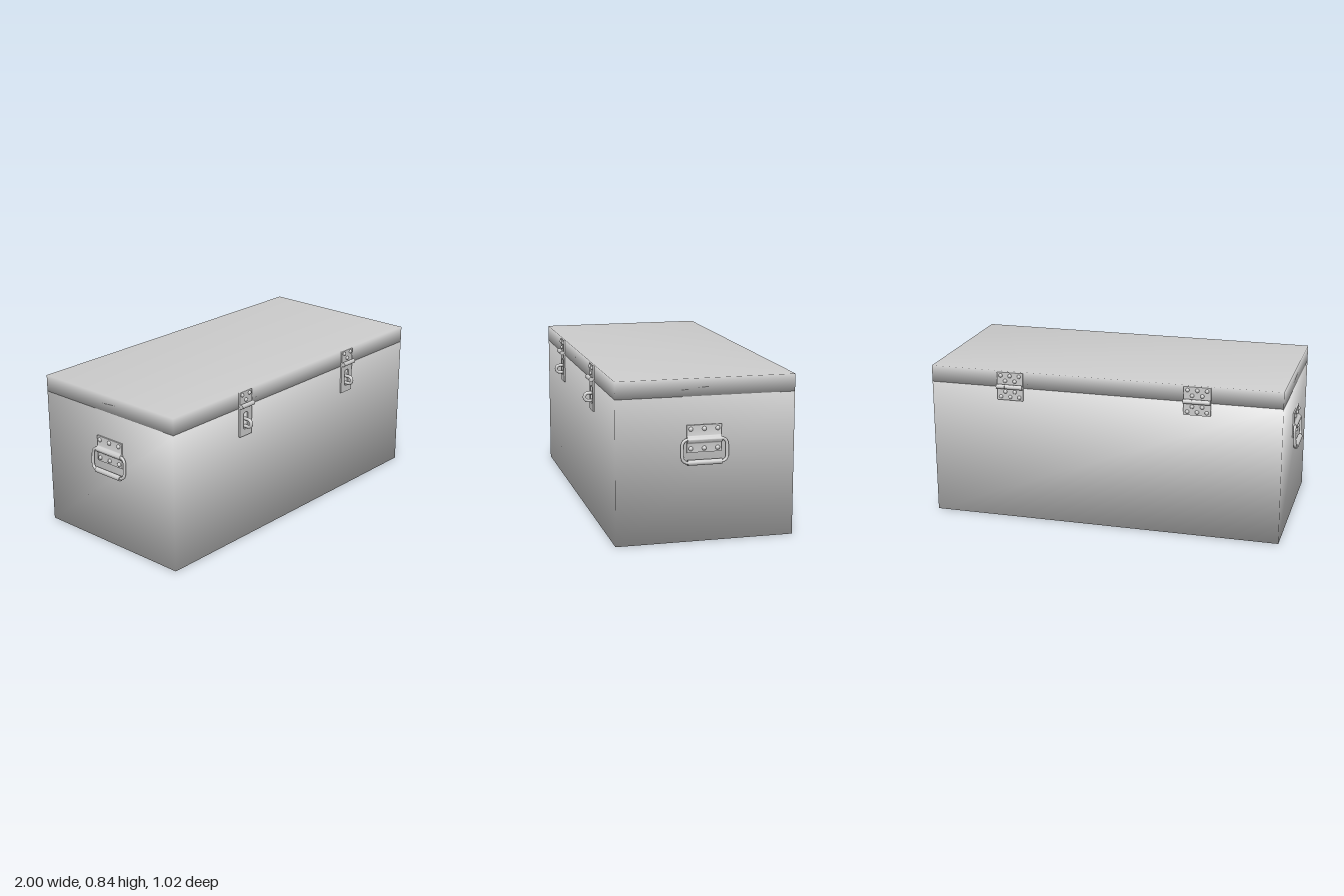
import * as THREE from 'three';
import { mergeVertices, toCreasedNormals } from 'three/addons/utils/BufferGeometryUtils.js';

const FRONT = 0.455, BACK = -0.477, HALF_W = 0.965, SEAM = 0.75, TOP = 0.84;
const PLATE = 0.008; // thickness of the metal plates
const material = new THREE.MeshStandardMaterial({ color: 0xcccccc });

function add(parent, name, geometry, x = 0, y = 0, z = 0) {
  const mesh = new THREE.Mesh(geometry, material);
  mesh.name = name;
  mesh.position.set(x, y, z);
  parent.add(mesh);
  return mesh;
}

// Box whose corners share one averaged normal, for soft shading
function softBox(w, h, d) {
  const box = new THREE.BoxGeometry(w, h, d);
  box.deleteAttribute('normal');
  box.deleteAttribute('uv');
  const soft = mergeVertices(box);
  soft.computeVertexNormals();
  return soft;
}

// Rounded rectangle outline centred on the origin
function roundedRect(w, h, r, Type = THREE.Shape) {
  const x = w / 2 - r, y = h / 2 - r, s = new Type();
  s.moveTo(x + r, -y);
  s.absarc(x, y, r, 0, Math.PI / 2);
  s.absarc(-x, y, r, Math.PI / 2, Math.PI);
  s.absarc(-x, -y, r, Math.PI, Math.PI * 1.5);
  s.absarc(x, -y, r, Math.PI * 1.5, Math.PI * 2);
  s.closePath();
  return s;
}

// Flat plate with small rounded corners, lying on z = 0 and facing +z
function plate(w, h, hole) {
  const shape = roundedRect(w, h, 0.004);
  if (hole) shape.holes.push(hole);
  const geo = new THREE.ExtrudeGeometry(shape, { depth: PLATE, bevelEnabled: false, curveSegments: 8 });
  return toCreasedNormals(geo, 0.6);
}

// Domed rivets at [x, y] spots
function rivets(parent, spots, r = 0.011) {
  const dome = new THREE.SphereGeometry(r, 14, 7, 0, Math.PI * 2, 0, Math.PI / 2).rotateX(Math.PI / 2);
  for (const [x, y] of spots) add(parent, 'rivet', dome, x, y, PLATE - 0.001);
}

const barrel = (length, r) => new THREE.CylinderGeometry(r, r, length, 18).rotateZ(Math.PI / 2);

// Latch with a slotted hasp over a staple; y is measured from the ground
function makeLatch() {
  const g = new THREE.Group();
  g.name = 'latch';
  add(g, 'latchUpperPlate', plate(0.094, 0.08, null), 0, 0.798, 0);
  add(g, 'latchHasp', plate(0.094, 0.168, roundedRect(0.034, 0.095, 0.012, THREE.Path)), 0, 0.674, 0);
  add(g, 'latchPivot', barrel(0.096, 0.012), 0, 0.763, 0.018);
  rivets(g, [[-0.028, 0.821], [0.028, 0.821], [0, 0.79]]);
  // U-shaped staple standing out through the slot
  const pts = [[0.683, -0.01], [0.683, 0.012]];
  for (let i = 0; i <= 8; i++) {
    const a = Math.PI / 2 - (i / 8) * Math.PI;
    pts.push([0.6625 + 0.0205 * Math.sin(a), 0.025 + 0.0205 * Math.cos(a)]);
  }
  pts.push([0.642, 0.012], [0.642, -0.01]);
  const curve = new THREE.CatmullRomCurve3(pts.map(([y, z]) => new THREE.Vector3(0, y, z)));
  add(g, 'latchStaple', new THREE.TubeGeometry(curve, 36, 0.009, 12));
  return g;
}

// Two-leaf hinge with its barrel at the lid seam
function makeHinge() {
  const g = new THREE.Group();
  g.name = 'hinge';
  for (const s of [-1, 1]) {
    add(g, 'hingeLeaf', plate(0.146, 0.074, null), 0, 0.757 + s * 0.0405, 0);
    const outer = 0.757 + s * 0.059, inner = 0.757 + s * 0.03;
    rivets(g, [[-0.052, outer], [0, outer], [0.052, outer], [-0.027, inner], [0.027, inner]]);
  }
  for (let i = -1; i <= 1; i++) {
    add(g, 'hingeKnuckle', barrel(0.048, 0.0125), i * 0.049, 0.757, 0.018);
  }
  add(g, 'hingePin', barrel(0.146, 0.009), 0, 0.757, 0.018);
  return g;
}

// Drop handle: ridged plate, swinging loop and grip
function makeHandle() {
  const g = new THREE.Group();
  g.name = 'sideHandle';
  const profile = new THREE.Shape();
  profile.moveTo(0, 0.465);
  profile.lineTo(PLATE, 0.465);
  profile.lineTo(PLATE, 0.508);
  profile.bezierCurveTo(PLATE, 0.517, 0.024, 0.515, 0.024, 0.53);
  profile.bezierCurveTo(0.024, 0.545, PLATE, 0.543, PLATE, 0.555);
  profile.lineTo(PLATE, 0.605);
  profile.lineTo(0, 0.605);
  profile.closePath();
  const ridge = new THREE.ExtrudeGeometry(profile, { depth: 0.18, bevelEnabled: false, curveSegments: 10 });
  ridge.translate(0, 0, -0.09).rotateY(-Math.PI / 2);
  add(g, 'handlePlate', toCreasedNormals(ridge, 0.6));
  rivets(g, [0.485, 0.585].flatMap((y) => [-0.07, 0, 0.07].map((x) => [x, y])), 0.012);

  const swing = new THREE.Group();
  swing.name = 'handleLoop';
  swing.position.set(0, 0.533, 0.014);
  swing.rotation.x = -0.06;
  g.add(swing);
  const outline = roundedRect(0.234, 0.117, 0.03).getSpacedPoints(72).slice(0, -1);
  const path = new THREE.CatmullRomCurve3(outline.map((p) => new THREE.Vector3(p.x, p.y - 0.0585, 0)), true);
  add(swing, 'handleBar', new THREE.TubeGeometry(path, 96, 0.008, 12, true));
  add(swing, 'handleGrip', barrel(0.18, 0.014), 0, -0.117, 0);
  return g;
}

export function createModel() {
  const model = new THREE.Group();
  model.name = 'storageTrunk';
  const depth = FRONT - BACK, midZ = (FRONT + BACK) / 2;

  // Trunk body and lid
  add(model, 'body', softBox(HALF_W * 2, SEAM, depth), 0, SEAM / 2, midZ);
  add(model, 'lid', softBox(HALF_W * 2, TOP - SEAM, depth), 0, (SEAM + TOP) / 2, midZ);

  // Front latches
  for (const x of [-0.435, 0.428]) {
    const latch = makeLatch();
    latch.position.set(x, 0, FRONT);
    model.add(latch);
  }
  // Back hinges and side handles
  for (const s of [-1, 1]) {
    const hinge = makeHinge();
    hinge.position.set(s * 0.514, 0, BACK);
    hinge.rotation.y = Math.PI;
    model.add(hinge);

    const handle = makeHandle();
    handle.position.set(s * HALF_W, 0, 0);
    handle.rotation.y = s * Math.PI / 2;
    model.add(handle);
  }
  return model;
}
